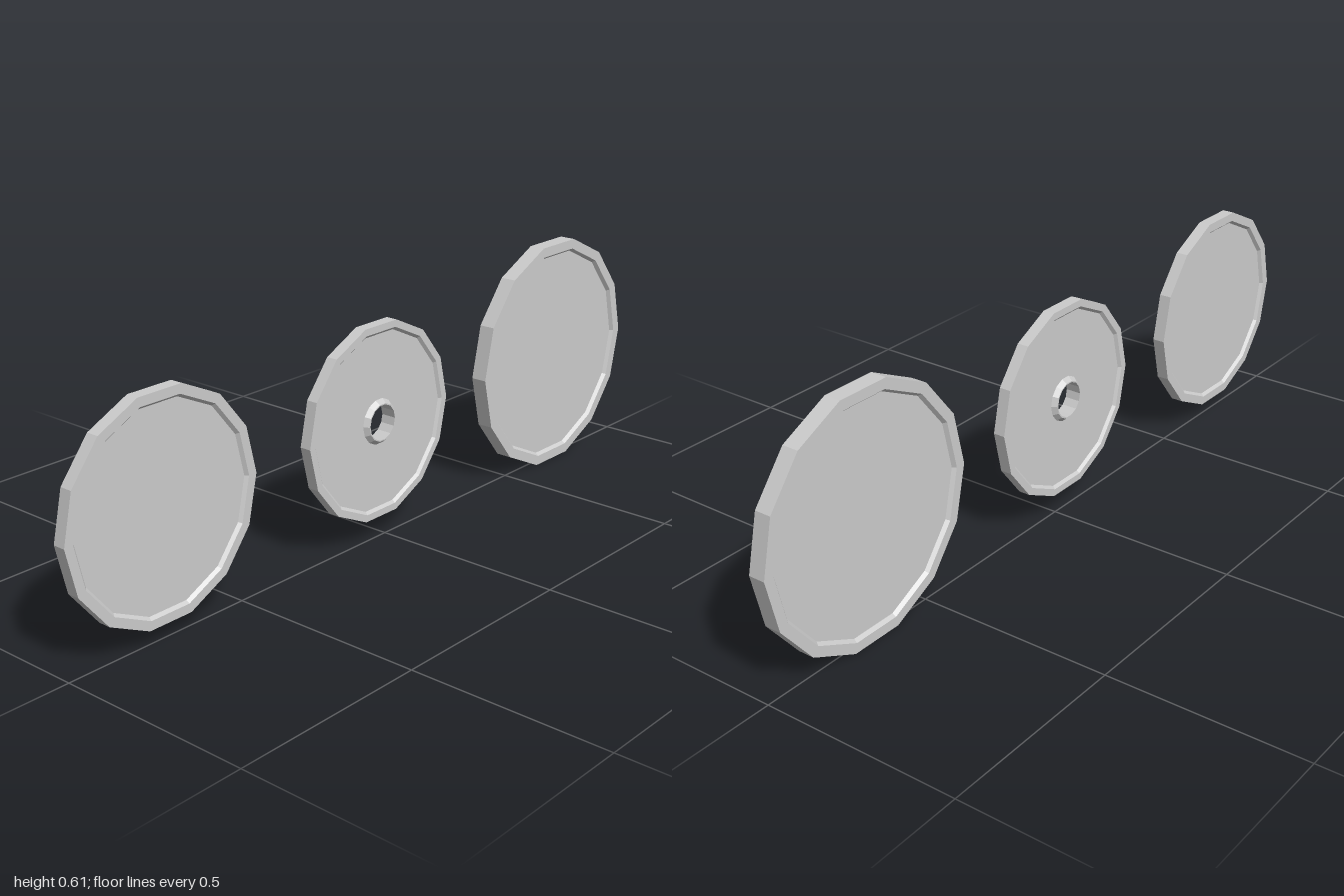
import * as THREE from 'three';

const SIDES = 14;
const material = new THREE.MeshStandardMaterial({ color: 0xcccccc, flatShading: true, side: THREE.DoubleSide });

// Spins a half profile (radius, depth), mirrored front to back, around the z axis.
function spin(name, half, x) {
  const back = half.map(([r, d]) => new THREE.Vector2(r, -d));
  const front = half.map(([r, d]) => new THREE.Vector2(r, d)).reverse();
  const points = [...back, ...front];
  if (half[0][0] > 0) points.push(points[0].clone()); // close the bore
  const geometry = new THREE.LatheGeometry(points, SIDES, Math.PI / 2);
  geometry.rotateX(Math.PI / 2);
  const mesh = new THREE.Mesh(geometry, material);
  mesh.name = name;
  mesh.position.set(x, 0.305, 0);
  return mesh;
}

// Raised rim with a slightly sloped inner wall down to the recessed panel.
function rim(radius, width, depth, recess) {
  return [
    [radius - width - 0.007, depth - recess],
    [radius - width, depth],
    [radius, depth],
  ];
}

export function createModel() {
  const group = new THREE.Group();
  group.name = 'discSet';

  // Solid discs with recessed faces
  group.add(spin('smallDisc', [[0, 0.008], ...rim(0.271, 0.023, 0.016, 0.008)], -0.729));
  group.add(spin('largeDisc', [[0, 0.012], ...rim(0.313, 0.026, 0.021, 0.009)], 0.687));

  // Disc with a tapered hub around a through hole
  const hub = [[0.045, 0.02], [0.048, 0.02], [0.058, 0.008]];
  group.add(spin('hubDisc', [...hub, ...rim(0.251, 0.018, 0.015, 0.007)], -0.031));

  return group;
}
